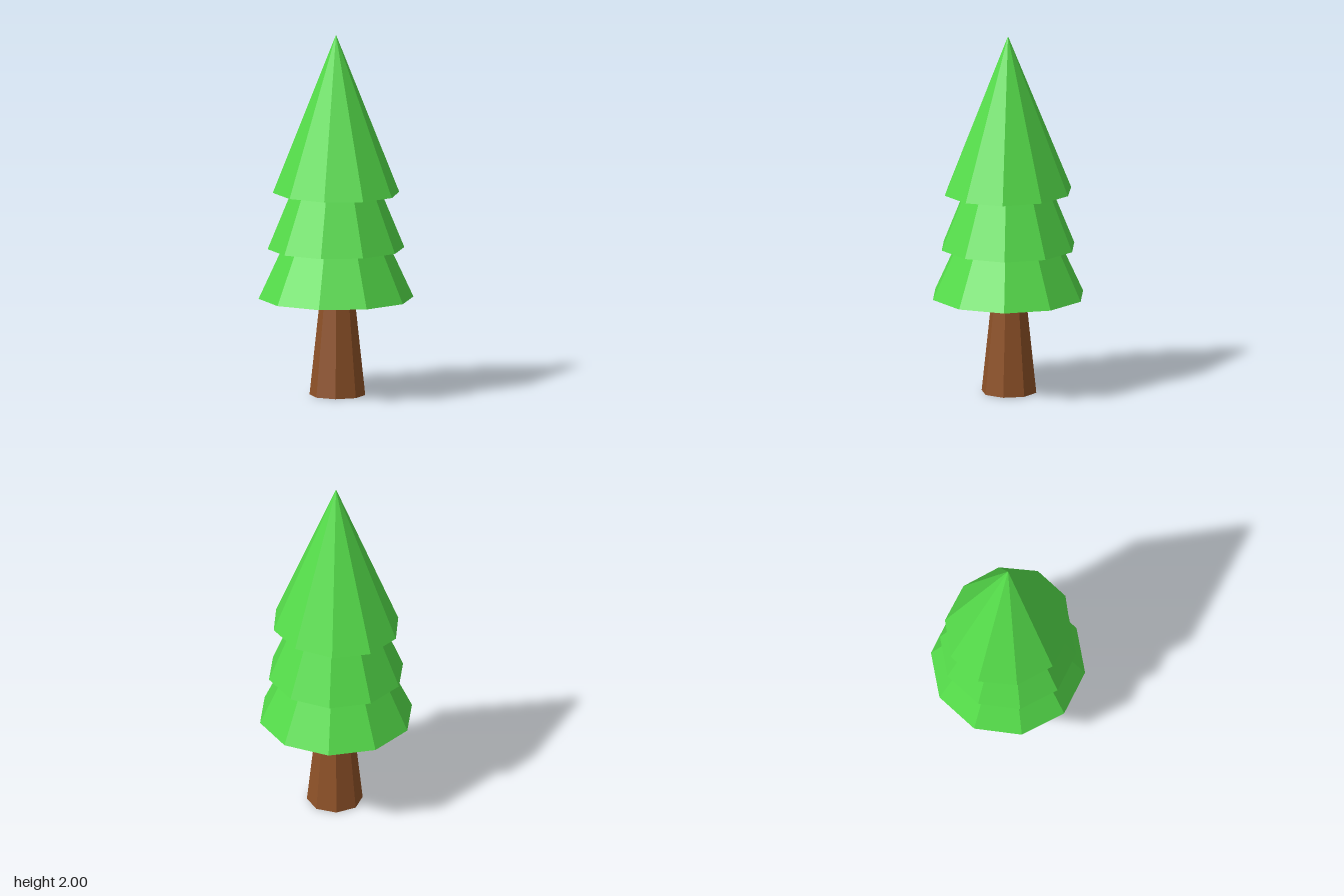
import * as THREE from 'three';

const LEAF = new THREE.MeshStandardMaterial({ color: 0x55dd4a, flatShading: true });
const BARK = new THREE.MeshStandardMaterial({ color: 0x8f5228, flatShading: true, side: THREE.DoubleSide });

// Tapered prism standing between two heights
function taper(name, rBottom, rTop, y0, y1, sides, open, material) {
  const geometry = new THREE.CylinderGeometry(rTop, rBottom, y1 - y0, sides, 1, open);
  const mesh = new THREE.Mesh(geometry, material);
  mesh.name = name;
  mesh.position.y = (y0 + y1) / 2;
  return mesh;
}

export function createModel() {
  const tree = new THREE.Group();
  tree.name = 'pineTree';

  // Hollow eight-sided trunk, set slightly towards the back
  const trunk = taper('trunk', 0.153, 0.095, 0, 0.54, 8, true, BARK);
  trunk.position.z = -0.01;
  tree.add(trunk);

  // Three ten-sided foliage tiers, each resting on the one below
  const lower = taper('lowerFoliage', 0.426, 0.298, 0.54, 0.815, 10, false, LEAF);
  const middle = taper('middleFoliage', 0.376, 0.248, 0.815, 1.125, 10, false, LEAF);
  const top = new THREE.Mesh(new THREE.ConeGeometry(0.338, 0.875, 10), LEAF);
  top.name = 'topFoliage';
  top.position.y = 1.125 + 0.875 / 2;
  top.scale.x = 1.074; // the tip is a little wider than deep
  tree.add(lower, middle, top);

  return tree;
}
